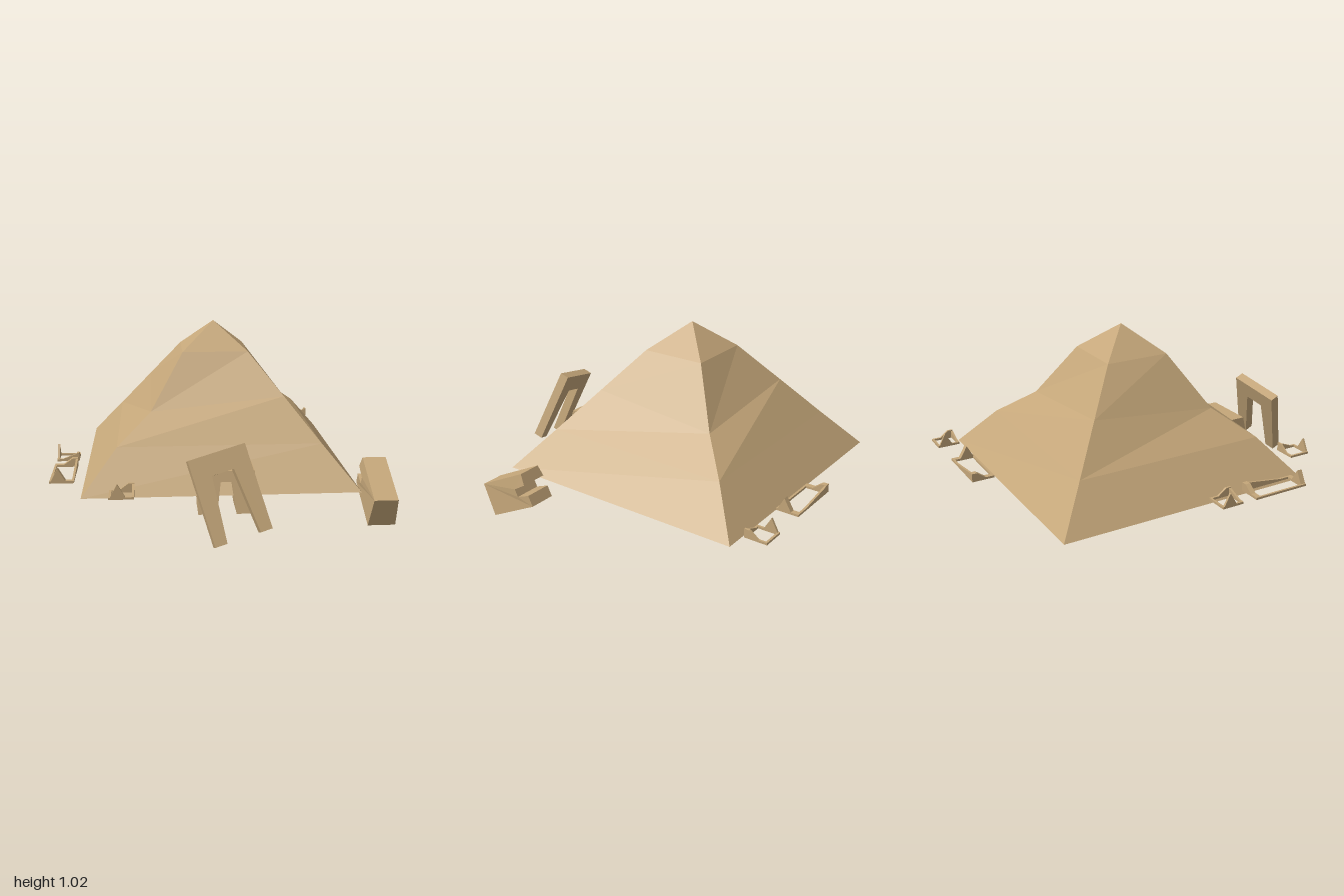
import * as THREE from 'three';

const sand = new THREE.MeshStandardMaterial({ color: 0xc4a679, flatShading: true });
sand.name = 'sandstone';

function mesh(name, geometry) {
  const m = new THREE.Mesh(geometry, sand);
  m.name = name;
  return m;
}

function extrude(points, depth) {
  const shape = new THREE.Shape(points.map(([x, y]) => new THREE.Vector2(x, y)));
  return new THREE.ExtrudeGeometry(shape, { depth, bevelEnabled: false });
}

// Apply a rule to every vertex, then refresh the normals
function reshape(geometry, rule) {
  const p = geometry.attributes.position;
  const v = new THREE.Vector3();
  for (let i = 0; i < p.count; i++) {
    v.fromBufferAttribute(p, i);
    rule(v);
    p.setXYZ(i, v.x, v.y, v.z);
  }
  geometry.computeVertexNormals();
  return geometry;
}

// Stepped-slope pyramid from square rings; the third ring sags at two corners
function pyramidGeometry() {
  const corners = [[1, 1], [1, -1], [-1, -1], [-1, 1]];
  const rings = [
    [0.735, [0.2, 0.2, 0.2, 0.2]],
    [0.55, [0.42, 0.42, 0.42, 0.42]],
    [0.367, [0.643, 0.568, 0.643, 0.568]],
    [0.184, [0.865, 0.865, 0.865, 0.865]],
    [0, [1.02, 1.02, 1.02, 1.02]],
  ];
  const at = (i, k) => {
    const [half, heights] = rings[i];
    const c = k % 4;
    return [-0.015 + corners[c][0] * half, heights[c], -0.085 + corners[c][1] * half];
  };
  const pos = [];
  for (let i = 0; i < 4; i++) {
    for (let k = 0; k < 4; k++) {
      const a = at(i, k), b = at(i, k + 1), c = at(i + 1, k + 1), d = at(i + 1, k);
      pos.push(...a, ...b, ...c);
      if (i < 3) pos.push(...a, ...c, ...d);
    }
  }
  // Underside
  pos.push(...at(0, 0), ...at(0, 2), ...at(0, 1), ...at(0, 0), ...at(0, 3), ...at(0, 2));
  const g = new THREE.BufferGeometry();
  g.setAttribute('position', new THREE.Float32BufferAttribute(pos, 3));
  g.computeVertexNormals();
  return g;
}

// Block with a tapered opening cut from its foot, standing on y = 0
function doorway(width, height, openBottom, openTop, openHeight, depth) {
  const w = width / 2, b = openBottom / 2, t = openTop / 2;
  return extrude([
    [-w, 0], [-b, 0], [-t, openHeight], [t, openHeight],
    [b, 0], [w, 0], [w, height], [-w, height],
  ], depth);
}

// Place a mesh by its local x and y directions and its origin
function orient(m, xDir, yDir, origin) {
  const x = new THREE.Vector3(...xDir).normalize();
  const z = new THREE.Vector3().crossVectors(x, new THREE.Vector3(...yDir)).normalize();
  const y = new THREE.Vector3().crossVectors(z, x);
  m.quaternion.setFromRotationMatrix(new THREE.Matrix4().makeBasis(x, y, z));
  m.position.set(...origin);
  return m;
}

// Open foundation: thin kerbs, a gabled end at +z, a low wall at -z and a ramped side
function ruin(name, length, endDepth, x, z, turn) {
  const g = new THREE.Group();
  g.name = name;
  const w = 0.128, t = 0.012, h = length / 2;
  for (const s of [-1, 1]) {
    const side = mesh('kerb', new THREE.BoxGeometry(t, t, length));
    side.position.set(s * (w - t) / 2, t / 2, 0);
    const end = mesh('endKerb', new THREE.BoxGeometry(w, t, endDepth));
    end.position.set(0, t / 2, s * (h - endDepth / 2));
    g.add(side, end);
  }
  const gable = mesh('gable', extrude([[-0.062, 0], [0.027, 0], [-0.02, 0.08]], endDepth));
  gable.position.z = h - endDepth;
  const wall = mesh('lowWall', extrude([[-0.03, 0], [w / 2, 0], [w / 2, 0.048], [0.035, 0.048]], endDepth));
  wall.position.z = -h;
  const ramp = mesh('rampWall', extrude([[-h, 0], [h, 0], [h, 0.048]], t));
  ramp.rotation.y = Math.PI / 2;
  ramp.position.x = w / 2 - t;
  g.add(gable, wall, ramp);
  g.position.set(x, 0.25, z);
  g.rotation.y = turn;
  return g;
}

export function createModel() {
  const model = new THREE.Group();
  model.name = 'ruinedPyramid';
  model.add(mesh('pyramid', pyramidGeometry()));

  // Entrance porch with a sloping face, set into the front slope
  const porch = mesh('entrancePorch', reshape(
    doorway(0.295, 0.215, 0.1, 0.06, 0.16, 0.21),
    (v) => { if (v.z > 0.1) v.z -= 0.23 * v.y; },
  ));
  porch.position.set(0, 0.13, 0.53);
  model.add(porch);

  // Fallen gate leaning in front of the porch
  const gate = mesh('leaningGate', doorway(0.3, 0.44, 0.175, 0.115, 0.335, 0.055)
    .translate(0.15, -0.44, -0.055));
  model.add(orient(gate, [0.285, 0.07, -0.06], [-0.11, 0.405, -0.14], [-0.207, 0.465, 0.9]));

  // Toppled block beside the pyramid, narrowing toward its upper face
  const block = mesh('toppledBlock', reshape(
    doorway(0.187, 0.335, 0.06, 0.045, 0.085, 0.15).translate(0, 0, -0.075),
    (v) => { if (v.x > 0.09) v.z *= 0.86; },
  ));
  model.add(orient(block, [0, 0.894, 0.447], [0, -0.447, 0.894], [0.845, 0.23, 0.345]));

  // Foundations scattered around the base
  const q = Math.PI / 2;
  model.add(
    ruin('frontFoundation', 0.125, 0.012, -0.535, 0.763, 0),
    ruin('longSideFoundation', 0.33, 0.03, -0.855, 0.375, 0),
    ruin('smallSideFoundation', 0.125, 0.012, -0.855, 0.063, -q),
    ruin('longBackFoundation', 0.33, 0.03, 0.185, -0.928, q),
    ruin('smallBackFoundation', 0.125, 0.012, 0.613, -0.936, -q),
  );
  return model;
}
